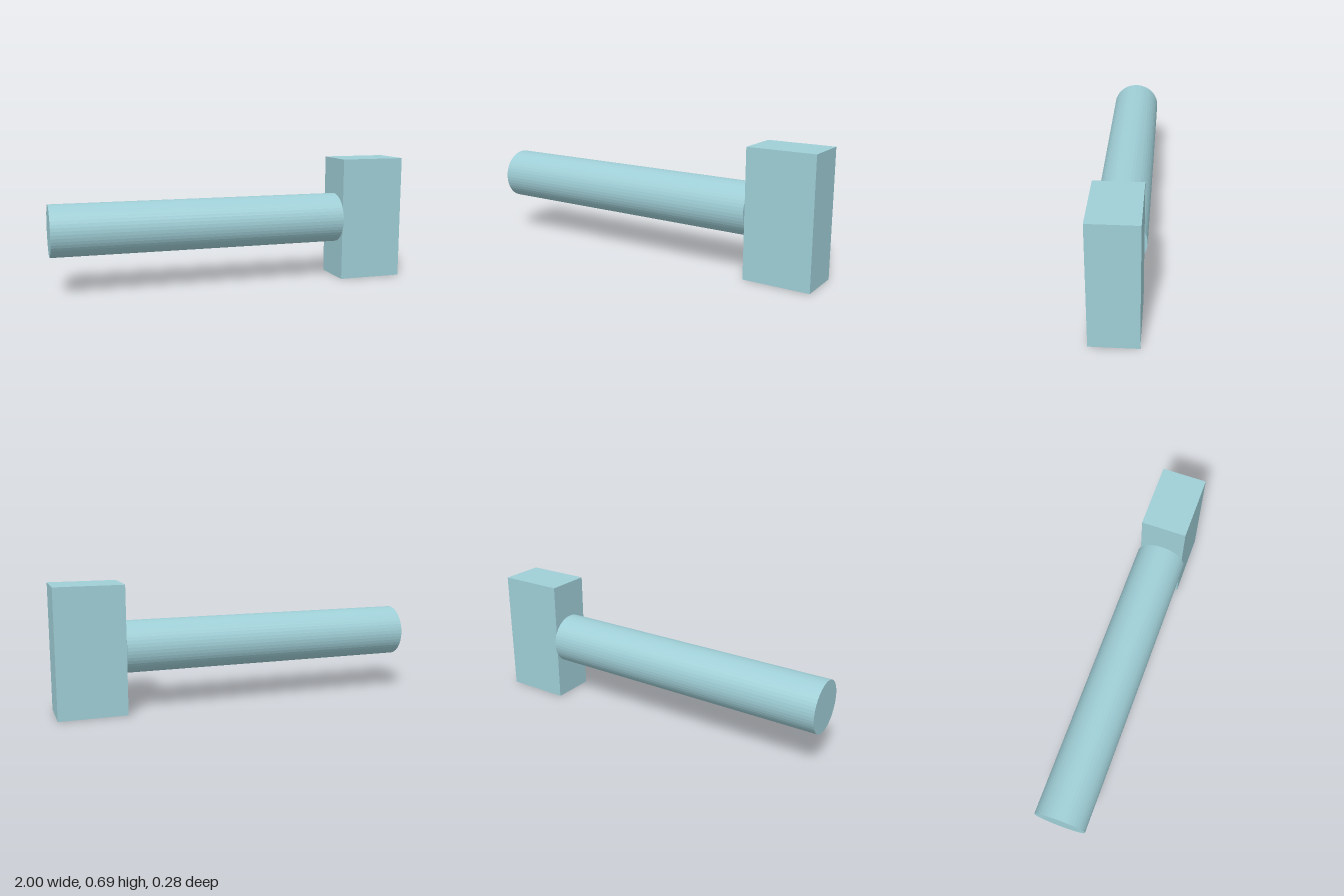
import * as THREE from 'three';

export function createModel() {
  const group = new THREE.Group();
  const paleTeal = new THREE.MeshStandardMaterial({ color: 0x9fced6 });
  paleTeal.name = 'paleTeal';
  paleTeal.flatShading = true;

  const height = 0.692;
  const neckX = 0.633; // where the shank meets the head

  // Rectangular head
  const head = new THREE.Mesh(new THREE.BoxGeometry(1 - neckX, height, 0.25), paleTeal);
  head.name = 'head';
  head.position.set((1 + neckX) / 2, height / 2, 0);
  group.add(head);

  // Round shank, slightly wider than the head is thick
  const shankGeometry = new THREE.CylinderGeometry(0.141, 0.141, 1 + neckX, 48);
  shankGeometry.rotateZ(Math.PI / 2);
  const shank = new THREE.Mesh(shankGeometry, paleTeal);
  shank.name = 'shank';
  shank.position.set((neckX - 1) / 2, height / 2, 0);
  group.add(shank);

  return group;
}
